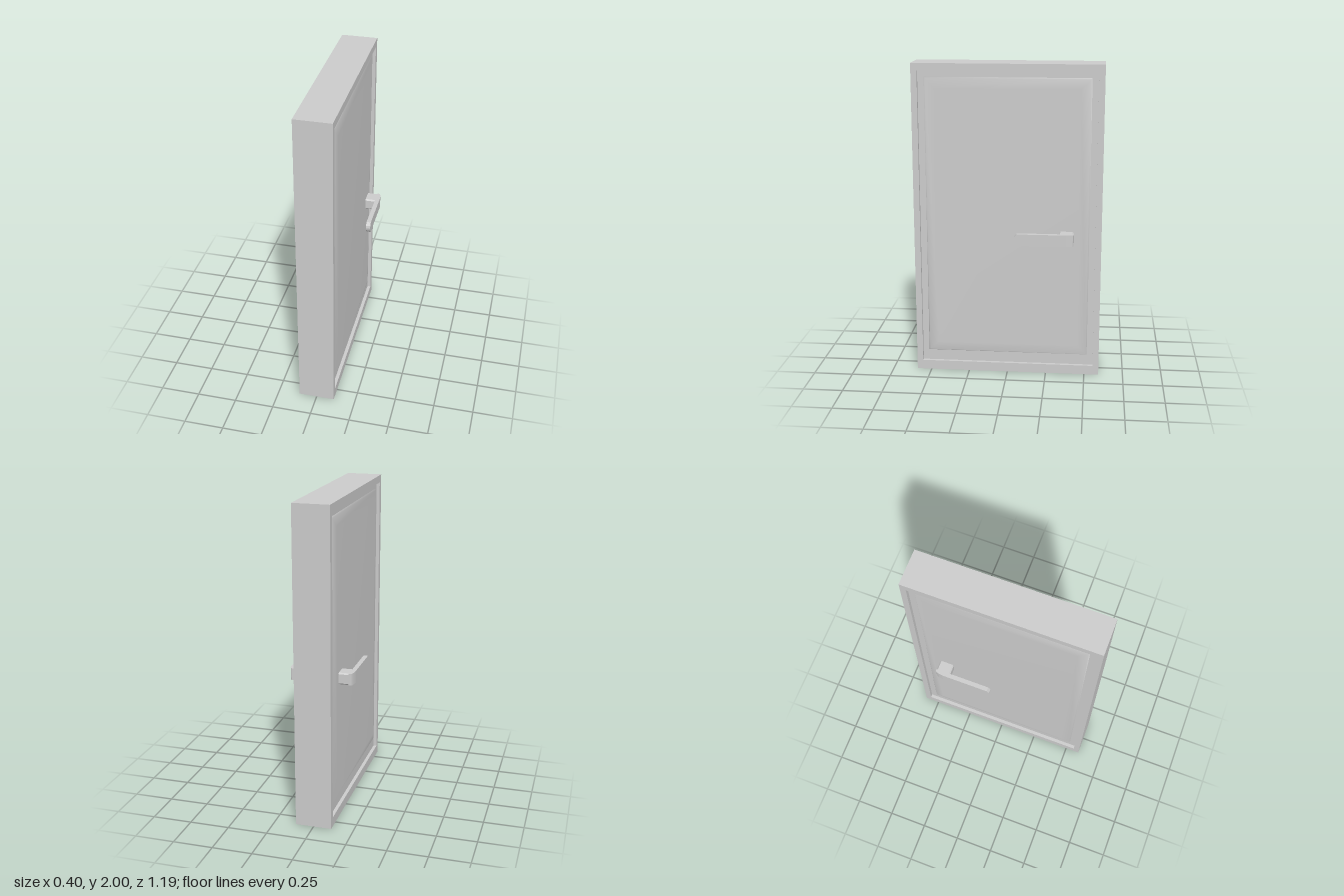
import * as THREE from 'three';

const flat = new THREE.MeshStandardMaterial({ color: 0xcccccc, flatShading: true });
const smooth = new THREE.MeshStandardMaterial({ color: 0xcccccc });

function addMesh(parent, name, geometry, material = flat) {
  const mesh = new THREE.Mesh(geometry, material);
  mesh.name = name;
  parent.add(mesh);
  return mesh;
}

function polygon(points) {
  return new THREE.Shape(points.map(([a, b]) => new THREE.Vector2(a, b)));
}

// Extrudes a (-z, y) outline along x, from x0 to x1
function extrudeX(shape, x0, x1) {
  return new THREE.ExtrudeGeometry(shape, { depth: x1 - x0, bevelEnabled: false })
    .rotateY(Math.PI / 2).translate(x0, 0, 0);
}

// Rectangular frame with an opening
function frameGeometry() {
  const rectangle = (z, y0, y1) => polygon([[-z, y0], [z, y0], [z, y1], [-z, y1]]);
  const shape = rectangle(0.593, 0, 2);
  shape.holes.push(rectangle(0.555, 0.06, 1.953));
  return extrudeX(shape, -0.1135, 0.1135);
}

// Raised panel from nested rectangles [x, half z, half y], closed at the last
function panelGeometry(rings) {
  const positions = [];
  const index = [];
  rings.forEach(([x, z, y], r) => {
    positions.push(x, -y, z, x, -y, -z, x, y, -z, x, y, z);
    if (r === 0) return;
    for (let i = 0; i < 4; i++) {
      const j = (i + 1) % 4;
      const a = (r - 1) * 4 + i, b = (r - 1) * 4 + j, c = r * 4 + j, d = r * 4 + i;
      index.push(a, b, c, a, c, d);
    }
  });
  const n = (rings.length - 1) * 4;
  index.push(n, n + 1, n + 2, n, n + 2, n + 3);
  const g = new THREE.BufferGeometry();
  g.setAttribute('position', new THREE.Float32BufferAttribute(positions, 3));
  g.setIndex(index);
  g.computeVertexNormals();
  return g;
}

// Lever handle on the +x face, centred on its own y = 0
function createHandle() {
  const handle = new THREE.Group();
  const h = 0.037;

  // Chamfered stem out of the door
  const c = 0.008;
  const stem = polygon([
    [0.327, -h + c], [0.327 + c, -h], [0.42 - c, -h], [0.42, -h + c],
    [0.42, h - c], [0.42 - c, h], [0.327 + c, h], [0.327, h - c],
  ]);
  addMesh(handle, 'handleStem', extrudeX(stem, 0.1, 0.176));

  // Rounded elbow, drawn in plan and extruded upward
  const elbow = polygon([
    [0.174, -0.37], [0.174, -0.42], [0.185, -0.42], [0.192, -0.415],
    [0.198, -0.398], [0.202, -0.37],
  ]);
  addMesh(handle, 'handleElbow', new THREE.ExtrudeGeometry(elbow, { depth: 2 * h, bevelEnabled: false })
    .rotateX(Math.PI / 2).translate(0, h, 0));

  // Straight grip with a chamfered tip
  const grip = polygon([
    [0.37, -h], [0.37, h], [0.065, h], [0.05, 0.017], [0.046, 0], [0.05, -0.017], [0.065, -h],
  ]);
  addMesh(handle, 'handleGrip', extrudeX(grip, 0.174, 0.202));
  return handle;
}

export function createModel() {
  const model = new THREE.Group();
  model.name = 'door';

  // Outer frame and the leaf set back inside it
  addMesh(model, 'frame', frameGeometry());
  addMesh(model, 'leaf', new THREE.BoxGeometry(0.184, 1.893, 1.11).translate(0, 1.0065, 0));

  // Panels and handles repeat on both faces by a half turn about z
  const panelRings = [[0.09, 0.517, 0.895], [0.101, 0.508, 0.886], [0.111, 0.45, 0.828]];
  ['left', 'right'].forEach((side, i) => {
    const panel = addMesh(model, side + 'Panel', panelGeometry(panelRings), smooth);
    panel.position.y = 1.0225;
    panel.rotation.z = i * Math.PI;

    const handle = createHandle();
    handle.name = side + 'Handle';
    handle.position.y = 0.921;
    handle.rotation.z = i * Math.PI;
    model.add(handle);
  });

  return model;
}
